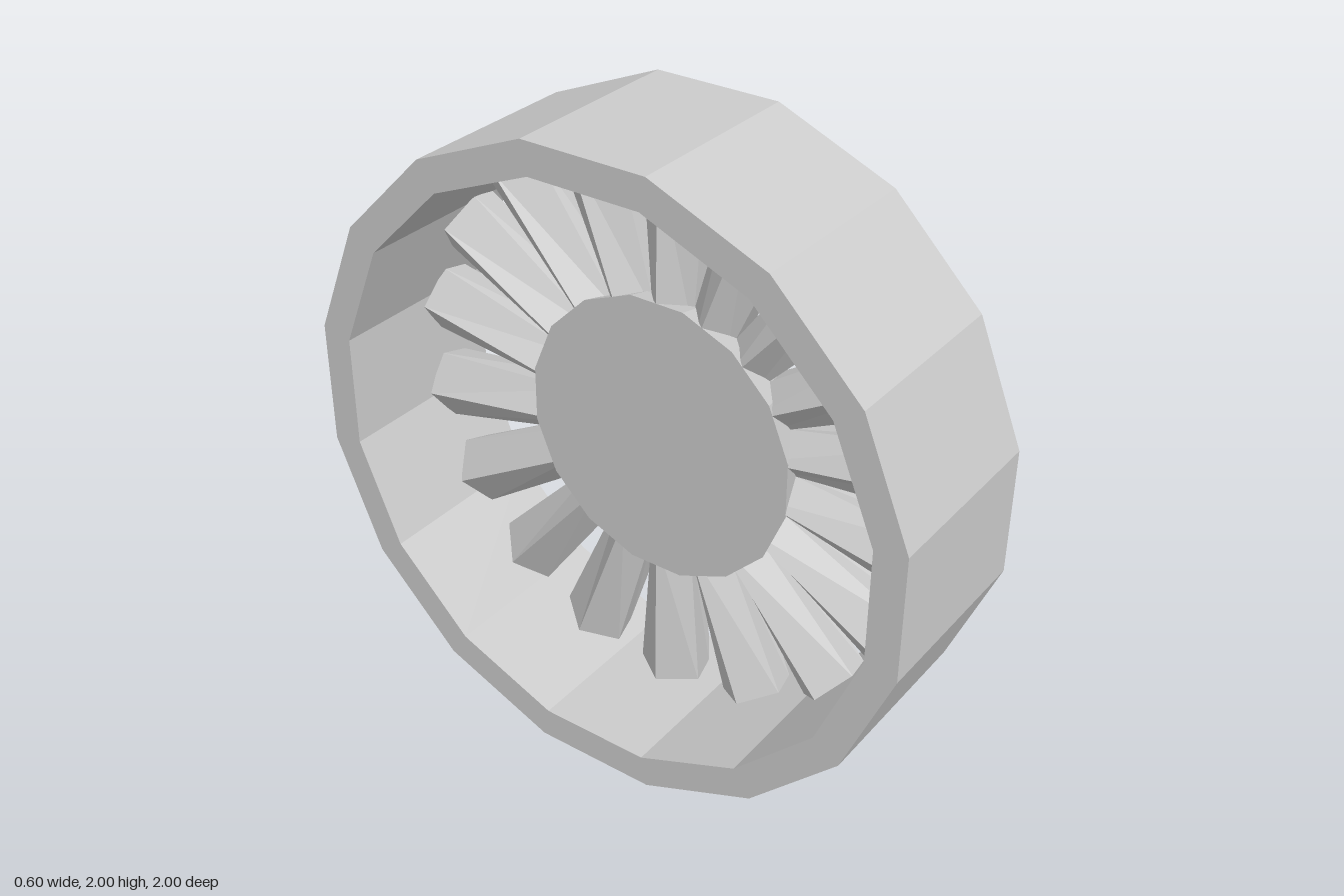
import * as THREE from 'three';

const SIDES = 16;
const SPOKES = 18;

// Faceted ring or disc about the x axis; profile is [radius to flat, x]
function turned(name, profile, material) {
  const k = 1 / Math.cos(Math.PI / SIDES);
  const points = profile.map(([r, x]) => new THREE.Vector2(r * k, x));
  const geometry = new THREE.LatheGeometry(points, SIDES, Math.PI / SIDES);
  geometry.rotateZ(-Math.PI / 2);
  const mesh = new THREE.Mesh(geometry, material);
  mesh.name = name;
  return mesh;
}

// V-grooved bar that widens from the hub to the rim
function spokeGeometry() {
  const inner = 0.35, outer = 0.905;
  const shape = new THREE.Shape([
    [0.02, 0], [0.1, -0.11], [0.2, -0.082], [0.16, 0], [0.2, 0.082], [0.1, 0.11],
  ].map(([x, z]) => new THREE.Vector2(x, z)));
  const geometry = new THREE.ExtrudeGeometry(shape, { depth: outer - inner, bevelEnabled: false });
  geometry.rotateX(-Math.PI / 2);
  geometry.translate(0, inner, 0);
  const p = geometry.attributes.position;
  for (let i = 0; i < p.count; i++) {
    const t = (p.getY(i) - inner) / (outer - inner);
    const z = p.getZ(i);
    const root = Math.abs(z) > 0.1 ? 0.63 : 0.8;
    p.setZ(i, z * THREE.MathUtils.lerp(root, 1, t));
  }
  geometry.computeVertexNormals();
  return geometry;
}

export function createModel() {
  const material = new THREE.MeshStandardMaterial({ color: 0xcccccc, flatShading: true });
  const wheel = new THREE.Group();
  wheel.name = 'wheel';

  // Wide outer rim
  wheel.add(turned('rim', [[0.9, -0.3], [1, -0.3], [1, 0.3], [0.9, 0.3], [0.9, -0.3]], material));

  // Tapered hub, set toward +x
  wheel.add(turned('hub', [[0, 0.02], [0.45, 0.02], [0.405, 0.2], [0, 0.2]], material));

  // Ring of spokes
  const spokes = new THREE.Group();
  spokes.name = 'spokes';
  const geometry = spokeGeometry();
  for (let i = 0; i < SPOKES; i++) {
    const spoke = new THREE.Mesh(geometry, material);
    spoke.name = 'spoke';
    spoke.rotation.x = (i / SPOKES) * Math.PI * 2;
    spokes.add(spoke);
  }
  wheel.add(spokes);

  wheel.position.y = 1;
  const model = new THREE.Group();
  model.name = 'spokedWheel';
  model.add(wheel);
  return model;
}
